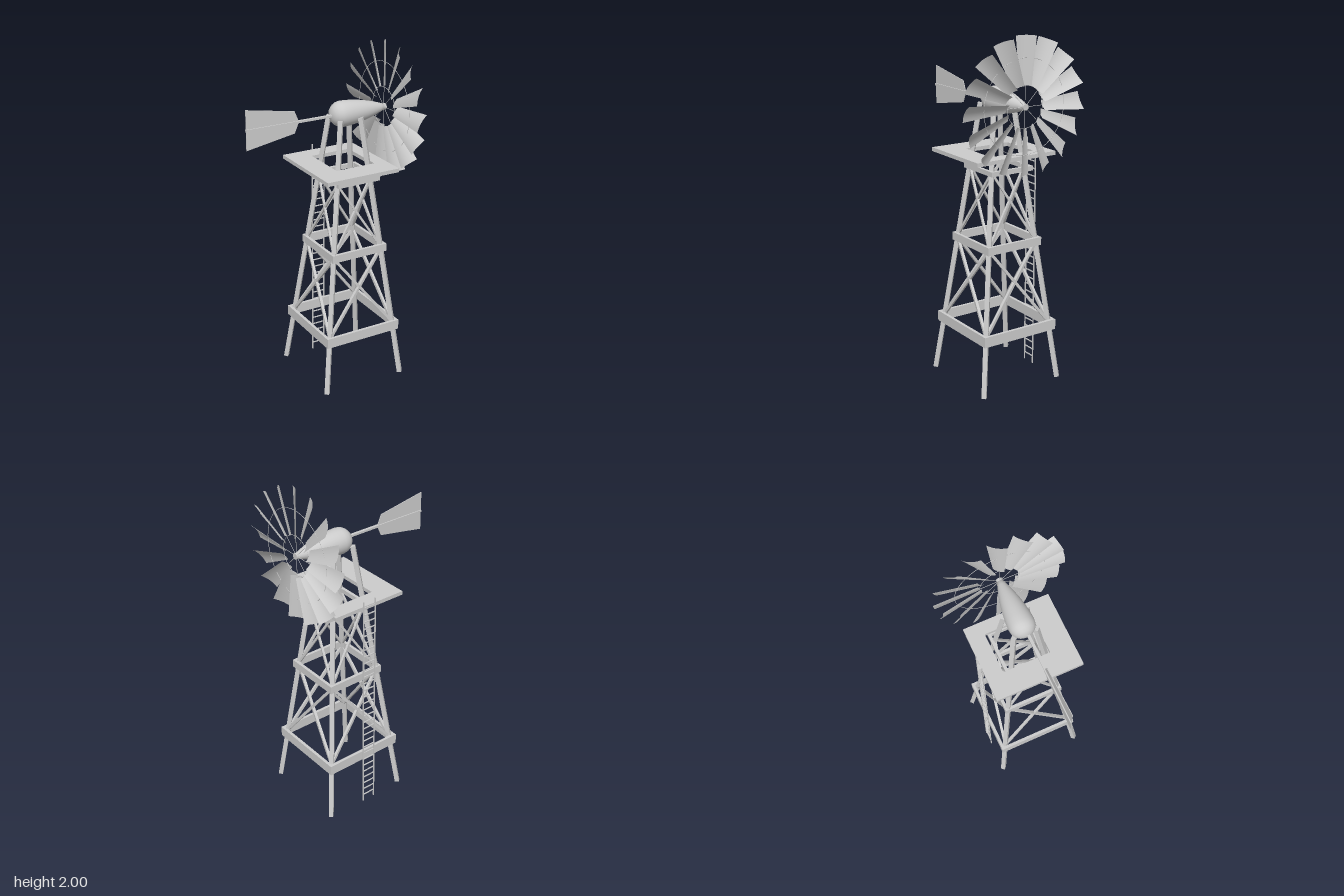
import * as THREE from 'three';

const mat = new THREE.MeshStandardMaterial({ color: 0xcccccc, side: THREE.DoubleSide });
const V = (x, y, z) => new THREE.Vector3(x, y, z);
const CX = 0.16;      // tower axis
const HUB_Y = 1.625;  // wheel and boom height

function add(parent, name, geometry, x = 0, y = 0, z = 0) {
  const mesh = new THREE.Mesh(geometry, mat);
  mesh.name = name;
  mesh.position.set(x, y, z);
  parent.add(mesh);
  return mesh;
}

// Square timber running between two points
function beam(parent, name, a, b, w) {
  const mesh = new THREE.Mesh(new THREE.BoxGeometry(w, w, a.distanceTo(b)), mat);
  mesh.name = name;
  mesh.position.copy(a).add(b).multiplyScalar(0.5);
  mesh.lookAt(b); // aimed in local space, before it is attached
  parent.add(mesh);
}

// Half spread of the tapering tower at a height
const spread = y => 0.256 - 0.191 * (y / 1.605);

function makeTower() {
  const tower = new THREE.Group();
  tower.name = 'tower';
  tower.position.x = CX;

  for (const sx of [-1, 1]) for (const sz of [-1, 1]) {
    const a = spread(0.01), b = spread(1.607);
    beam(tower, 'leg', V(sx * a, 0.01, sz * a), V(sx * b, 1.607, sz * b), 0.026);
  }

  // Horizontal board frames: centre height, board height, outer half width, x and z offset
  const frames = [[0.334, 0.06, 0.244, 0, -0.002], [0.832, 0.046, 0.18, 0.004, 0], [1.254, 0.027, 0.137, 0.019, 0.002]];
  for (const [y, h, r, dx, dz] of frames) {
    const t = 0.018;
    for (const s of [-1, 1]) {
      add(tower, 'frameBoard', new THREE.BoxGeometry(2 * r, h, t), dx, y, dz + s * (r - t / 2));
      add(tower, 'frameBoard', new THREE.BoxGeometry(t, h, 2 * (r - t)), dx + s * (r - t / 2), y, dz);
    }
  }

  // Crossed braces on all four sides
  for (const [y0, y1, w] of [[0.35, 0.825, 0.016], [0.84, 1.25, 0.013]]) {
    const a = spread(y0), b = spread(y1);
    for (let i = 0; i < 4; i++) {
      const side = new THREE.Group();
      side.name = 'crossBrace';
      side.rotation.y = i * Math.PI / 2;
      for (const s of [-1, 1]) beam(side, 'brace', V(-s * a, y0, a), V(s * b, y1, b), w);
      tower.add(side);
    }
  }
  return tower;
}

function makePlatform() {
  const rect = (path, x0, x1, z0, z1) =>
    path.moveTo(x0, z0).lineTo(x1, z0).lineTo(x1, z1).lineTo(x0, z1).lineTo(x0, z0);
  const shape = rect(new THREE.Shape(), -0.098, 0.361, -0.256, 0.261);
  shape.holes.push(rect(new THREE.Path(), 0.038, 0.284, -0.159, 0.122));
  const geometry = new THREE.ExtrudeGeometry(shape, { depth: 0.022, bevelEnabled: false });
  return geometry.rotateX(Math.PI / 2);
}

function makeLadder() {
  const ladder = new THREE.Group();
  ladder.name = 'ladder';
  ladder.position.set(0.136, 0, -0.258);
  for (const s of [-1, 1])
    add(ladder, 'ladderRail', new THREE.BoxGeometry(0.006, 1.375, 0.006), s * 0.04, 0.6875, 0);
  for (let y = 0.045; y < 1.35; y += 0.0445)
    add(ladder, 'ladderRung', new THREE.BoxGeometry(0.08, 0.006, 0.005), 0, y, 0);
  return ladder;
}

// Pitched, cambered blade widening towards the tip; radial direction is +y
function bladeGeometry() {
  const geometry = new THREE.PlaneGeometry(1, 1, 8, 1);
  const p = geometry.attributes.position;
  for (let i = 0; i < p.count; i++) {
    const u = p.getX(i) * 2, v = p.getY(i) + 0.5;
    const half = 0.024 + 0.022 * v;
    const camber = 0.011 * (1 - u * u) * (0.6 + 0.4 * v);
    p.setXYZ(i, u * (0.02 + 0.0095 * v) - camber * 0.85,
      0.115 + 0.262 * v - 0.003 * u * u * v, -u * half - camber * 0.5);
  }
  geometry.computeVertexNormals();
  return geometry;
}

function makeWheel() {
  const wheel = new THREE.Group();
  wheel.name = 'windWheel';
  wheel.position.set(0.423, HUB_Y, 0);
  const blade = bladeGeometry();
  for (let i = 0; i < 16; i++)
    add(wheel, 'blade', blade).rotation.x = i * Math.PI / 8;
  // Thin rings and spokes holding the blades
  for (const r of [0.115, 0.26])
    add(wheel, 'ring', new THREE.TorusGeometry(r, 0.0014, 6, 64).rotateY(Math.PI / 2), -0.005);
  const spoke = new THREE.CylinderGeometry(0.0014, 0.0014, 0.115, 6).translate(0, 0.0575, 0);
  for (let i = 0; i < 8; i++)
    add(wheel, 'spoke', spoke, -0.005).rotation.x = i * Math.PI / 4;
  add(wheel, 'hub', new THREE.CylinderGeometry(0.018, 0.018, 0.016, 16).rotateZ(Math.PI / 2), -0.003);
  return wheel;
}

function makeTail() {
  const tail = new THREE.Group();
  tail.name = 'tail';
  tail.position.set(0, HUB_Y, 0.008);
  add(tail, 'boom', new THREE.BoxGeometry(0.555, 0.012, 0.017), -0.1775);
  const outline = [[-0.455, 0.114], [-0.162, 0.063], [-0.14, 0.012]];
  const points = [...outline, ...outline.map(([x, y]) => [x, -y]).reverse()];
  const shape = new THREE.Shape(points.map(([x, y]) => new THREE.Vector2(x, y)));
  add(tail, 'vane', new THREE.ExtrudeGeometry(shape, { depth: 0.004, bevelEnabled: false }), 0, 0, -0.002);
  return tail;
}

export function createModel() {
  const model = new THREE.Group();
  model.name = 'windPump';
  model.add(makeTower(), makeLadder(), makeWheel(), makeTail());
  add(model, 'platform', makePlatform(), 0, 1.344, 0);

  // Teardrop gear housing turned about the x axis: radius, x
  const profile = [[0, 0.067], [0.025, 0.071], [0.045, 0.081], [0.06, 0.096], [0.07, 0.115], [0.074, 0.14],
    [0.072, 0.18], [0.066, 0.23], [0.056, 0.285], [0.043, 0.335], [0.028, 0.385], [0.016, 0.418], [0, 0.42]];
  const housing = new THREE.LatheGeometry(profile.map(([r, x]) => new THREE.Vector2(r, x)), 32);
  add(model, 'gearHousing', housing.rotateZ(-Math.PI / 2), 0, HUB_Y, 0);
  return model;
}
